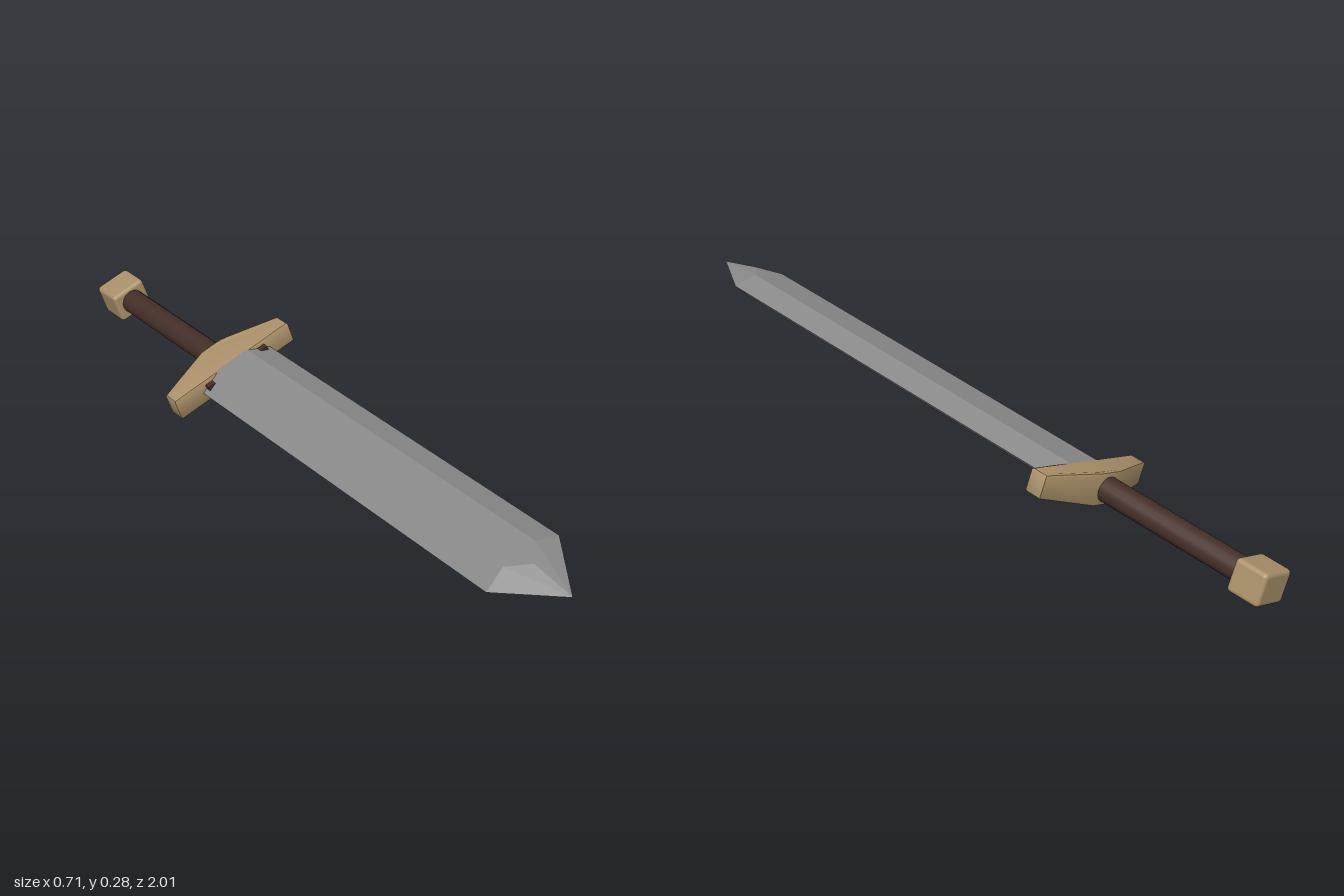
import * as THREE from 'three';
import { RoundedBoxGeometry } from 'three/addons/geometries/RoundedBoxGeometry.js';
import { toCreasedNormals } from 'three/addons/utils/BufferGeometryUtils.js';

const material = (name, color, flatShading = false) => {
  const m = new THREE.MeshStandardMaterial({ color, flatShading });
  m.name = name;
  return m;
};

// Hexagonal blade along z; z = 0 is the shoulder where the point begins
function bladeGeometry(length, halfWidth, flat, half, tipLength) {
  const ring = [[halfWidth, 0], [flat, half], [-flat, half], [-halfWidth, 0], [-flat, -half], [flat, -half]];
  const base = ring.map(([x, y]) => [x, y, -length]);
  const shoulder = ring.map(([x, y]) => [x, y, 0]);
  const tip = [0, 0, tipLength];
  const out = [];
  const tri = (...corners) => corners.forEach((c) => out.push(...c));
  for (let i = 0; i < 6; i++) {
    const j = (i + 1) % 6;
    tri(base[i], base[j], shoulder[j]);
    tri(base[i], shoulder[j], shoulder[i]);
    tri(base[j], base[i], [0, 0, -length]);
    if (i === 1 || i === 4) {
      // The flats run on into an arrow before falling to the tip
      const peak = [0, ring[i][1], 0.055];
      tri(shoulder[i], shoulder[j], peak);
      tri(shoulder[j], tip, peak);
      tri(tip, shoulder[i], peak);
    } else {
      tri(shoulder[i], shoulder[j], tip);
    }
  }
  const g = new THREE.BufferGeometry();
  g.setAttribute('position', new THREE.Float32BufferAttribute(out, 3));
  g.computeVertexNormals();
  return g;
}

// Crossguard: straight toward the blade, swelling toward the grip
function guardGeometry() {
  const b = 0.008;
  const outline = [[-0.2, 0.025], [-0.2, -0.025], [-0.035, -0.075], [0.035, -0.075], [0.2, -0.025], [0.2, 0.025]];
  const shape = new THREE.Shape(outline.map(([x, y]) => new THREE.Vector2(x, y)));
  const depth = 0.096 - 2 * b;
  let g = new THREE.ExtrudeGeometry(shape, {
    depth, bevelEnabled: true, bevelThickness: b, bevelSize: b, bevelOffset: -b, bevelSegments: 2,
  });
  g.translate(0, 0, -depth / 2);
  g.rotateX(Math.PI / 2);
  // Thin the height toward both ends
  const p = g.attributes.position;
  for (let i = 0; i < p.count; i++) {
    const t = THREE.MathUtils.clamp((Math.abs(p.getX(i)) - 0.035) / 0.165, 0, 1);
    p.setY(i, p.getY(i) * THREE.MathUtils.lerp(1, 0.7, t));
  }
  g = toCreasedNormals(g, 0.6);
  return g;
}

export function createModel() {
  const steel = material('steel', 0x8a8a8a, true);
  const brass = material('tan brass', 0xaa9068);
  const leather = material('dark leather', 0x452f29);

  const model = new THREE.Group();
  model.name = 'sword';
  const add = (name, geometry, mat, x = 0, y = 0, z = 0) => {
    const mesh = new THREE.Mesh(geometry, mat);
    mesh.name = name;
    mesh.position.set(x, y, z);
    sword.add(mesh);
    return mesh;
  };

  // Local frame: x across the blade, y through its thickness, z toward the tip
  const sword = new THREE.Group();
  sword.name = 'tiltedSword';
  const along = new THREE.Vector3(0.286, 0.095, 0.953).normalize();
  const across = new THREE.Vector3(0.908, 0.283, -0.307);
  const up = along.clone().cross(across).normalize();
  across.crossVectors(up, along);
  sword.quaternion.setFromRotationMatrix(new THREE.Matrix4().makeBasis(across, up, along));
  sword.position.set(0.2475, 0.2415, 0.825);
  model.add(sword);

  add('blade', bladeGeometry(1.28, 0.1185, 0.053, 0.034, 0.184), steel);
  add('crossguard', guardGeometry(), brass, -0.006, 0, -1.278);

  // Small leather blocks where the blade edges meet the guard
  for (const side of [-1, 1]) {
    add('bladeBlock', new THREE.BoxGeometry(0.028, 0.04, 0.03), leather, side * 0.09, 0, -1.25);
  }

  const grip = new THREE.CylinderGeometry(0.035, 0.035, 0.5, 16);
  grip.rotateX(Math.PI / 2);
  add('grip', grip, leather, -0.004, 0, -1.575);

  add('pommel', new RoundedBoxGeometry(0.108, 0.092, 0.1, 2, 0.012), brass, -0.004, 0, -1.858);

  return model;
}
